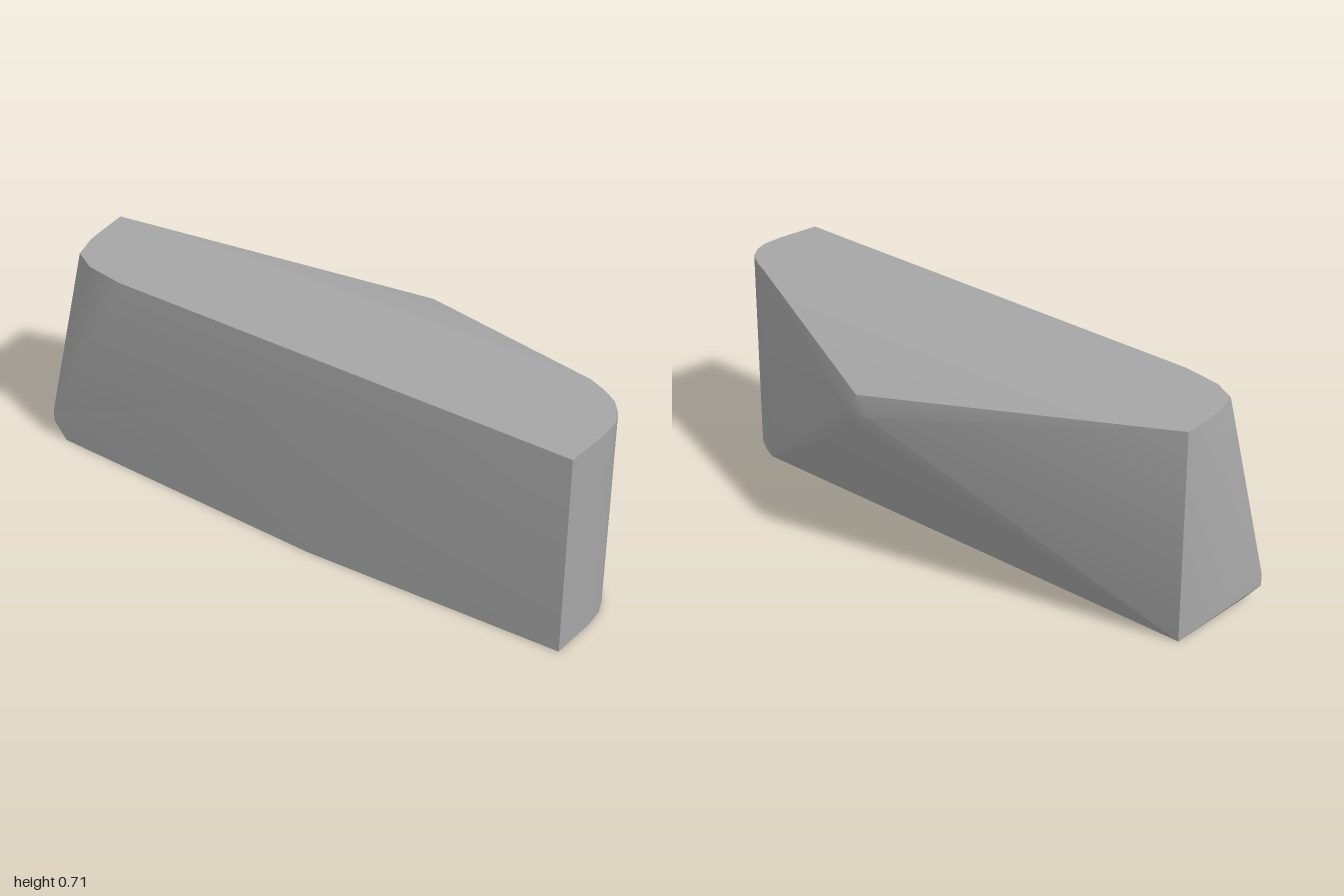
import * as THREE from 'three';
import { ConvexGeometry } from 'three/addons/geometries/ConvexGeometry.js';
import { toCreasedNormals } from 'three/addons/utils/BufferGeometryUtils.js';

const H = 0.71;

export function createModel() {
  const group = new THREE.Group();
  group.name = 'rock';
  const stone = new THREE.MeshStandardMaterial({ color: 0xa6a6a6 });
  stone.name = 'stone grey';

  const points = [];
  const add = (x, y, z) => points.push(new THREE.Vector3(x, y, z));

  // rounded right end, the same at the base and the top
  const end = [[0.98, 0.357], [1, 0.2], [1, 0.13], [0.985, 0.08], [0.95, 0.03], [0.89, -0.01], [0.84, -0.035]];
  for (const [x, z] of end) {
    add(x, 0, z);
    add(x, H, z);
  }

  // rounded left end of the flat top
  const topLeft = [[-0.9, -0.07], [-0.915, -0.04], [-0.93, 0.04], [-0.925, 0.1], [-0.9, 0.19], [-0.82, 0.24], [-0.68, 0.27]];
  for (const [x, z] of topLeft) add(x, H, z);

  // sharp left back edge
  add(-0.94, 0, -0.075);
  add(-0.935, H, -0.075);

  // flared left foot with a clipped corner
  add(-0.95, 0, 0.28);
  add(-1, 0.06, 0.275);
  add(-1, 0.1, 0.275);

  // blunt peak on the back
  add(0.12, 0.59, -0.348);
  add(0.15, 0.53, -0.357);
  add(0.07, 0.53, -0.354);
  add(0.12, 0.475, -0.348);

  // shallow bulge on the front
  add(0.08, 0, 0.357);
  add(0.08, 0.55, 0.357);

  const body = new THREE.Mesh(toCreasedNormals(new ConvexGeometry(points), 0.5), stone);
  body.name = 'rockBody';
  group.add(body);
  return group;
}
